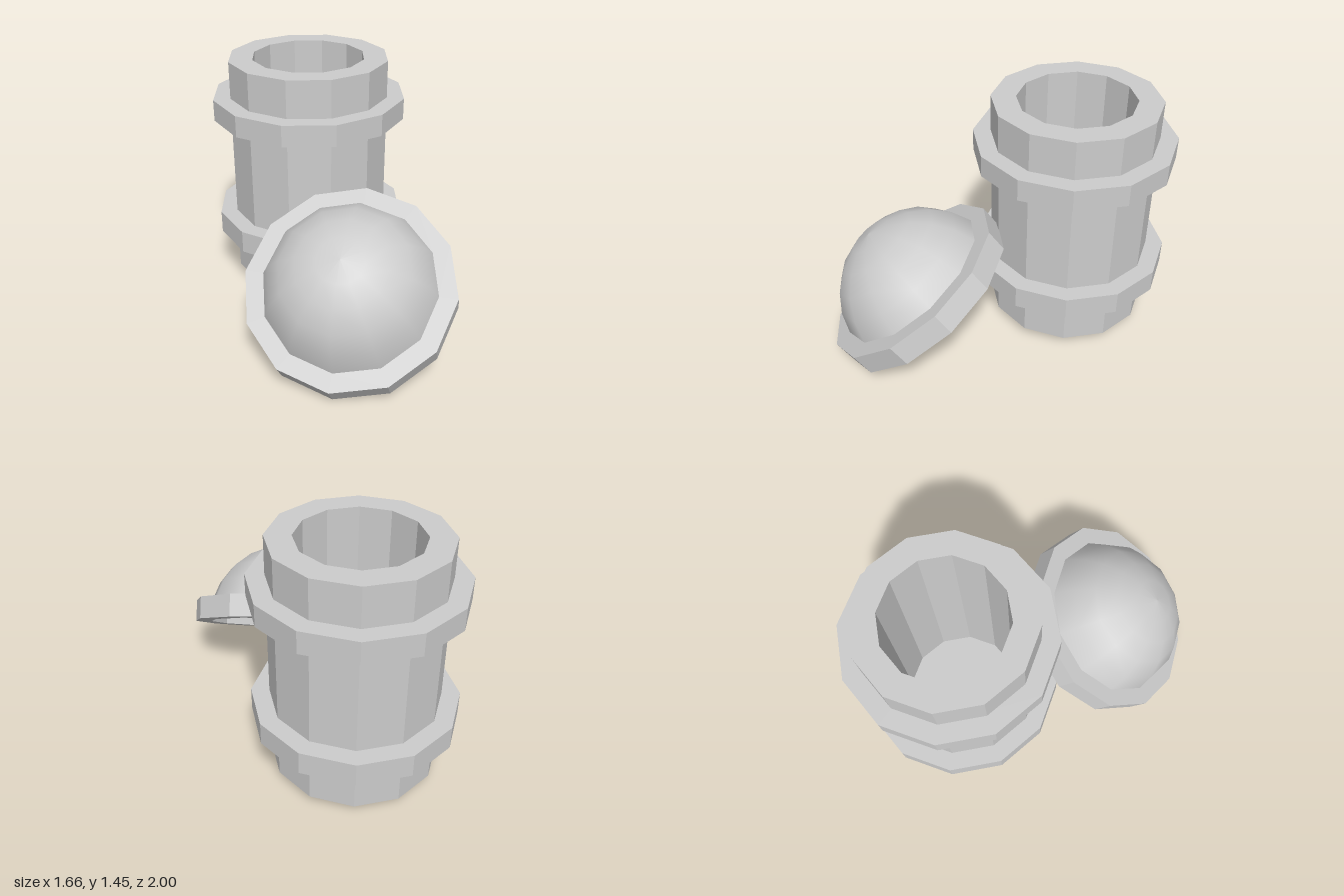
import * as THREE from 'three';

const SIDES = 12;
const flat = new THREE.MeshStandardMaterial({ color: 0xcccccc, flatShading: true });
const smooth = new THREE.MeshStandardMaterial({ color: 0xcccccc });

// Turned part from [radius, height] pairs, outer side listed upwards
function turned(name, profile, material = flat) {
  const points = profile.map(([r, y]) => new THREE.Vector2(r, y));
  const mesh = new THREE.Mesh(new THREE.LatheGeometry(points, SIDES), material);
  mesh.name = name;
  return mesh;
}

// Closed band of rectangular section
function band(name, inner, outer, y0, y1) {
  return turned(name, [[inner, y0], [outer, y0], [outer, y1], [inner, y1], [inner, y0]]);
}

export function createModel() {
  const model = new THREE.Group();
  model.name = 'potWithLid';

  // Hollow pot with two raised hoops
  const pot = new THREE.Group();
  pot.name = 'pot';
  pot.position.set(-0.233, 0, -0.405);
  pot.add(turned('potBody', [
    [0, 0.06], [0.49, 0.06], [0.49, 1.457], [0.345, 1.457], [0.345, 0.2], [0, 0.2],
  ]));
  pot.add(band('lowerHoop', 0.47, 0.595, 0.33, 0.47));
  pot.add(band('upperHoop', 0.47, 0.595, 1.1, 1.23));
  model.add(pot);

  // Domed lid leaning against the pot
  const lid = new THREE.Group();
  lid.name = 'lid';
  lid.position.set(0.233, 0.42, 0.485);
  lid.rotation.x = THREE.MathUtils.degToRad(37);
  lid.add(band('lidRim', 0.49, 0.595, -0.07, 0.07));

  // Dome: spherical cap rising from the top of the rim
  const R = 0.508;
  const cap = [];
  for (let i = 1; i <= 6; i++) {
    const a = (i * Math.PI) / 12;
    cap.push([i === 6 ? 0 : R * Math.cos(a), R * Math.sin(a) - 0.062]);
  }
  lid.add(turned('lidDome', cap, smooth));

  // Flat underside recessed inside the rim
  const underside = turned('lidUnderside', [[0, 0], [0.491, 0]]);
  lid.add(underside);

  model.add(lid);
  return model;
}
